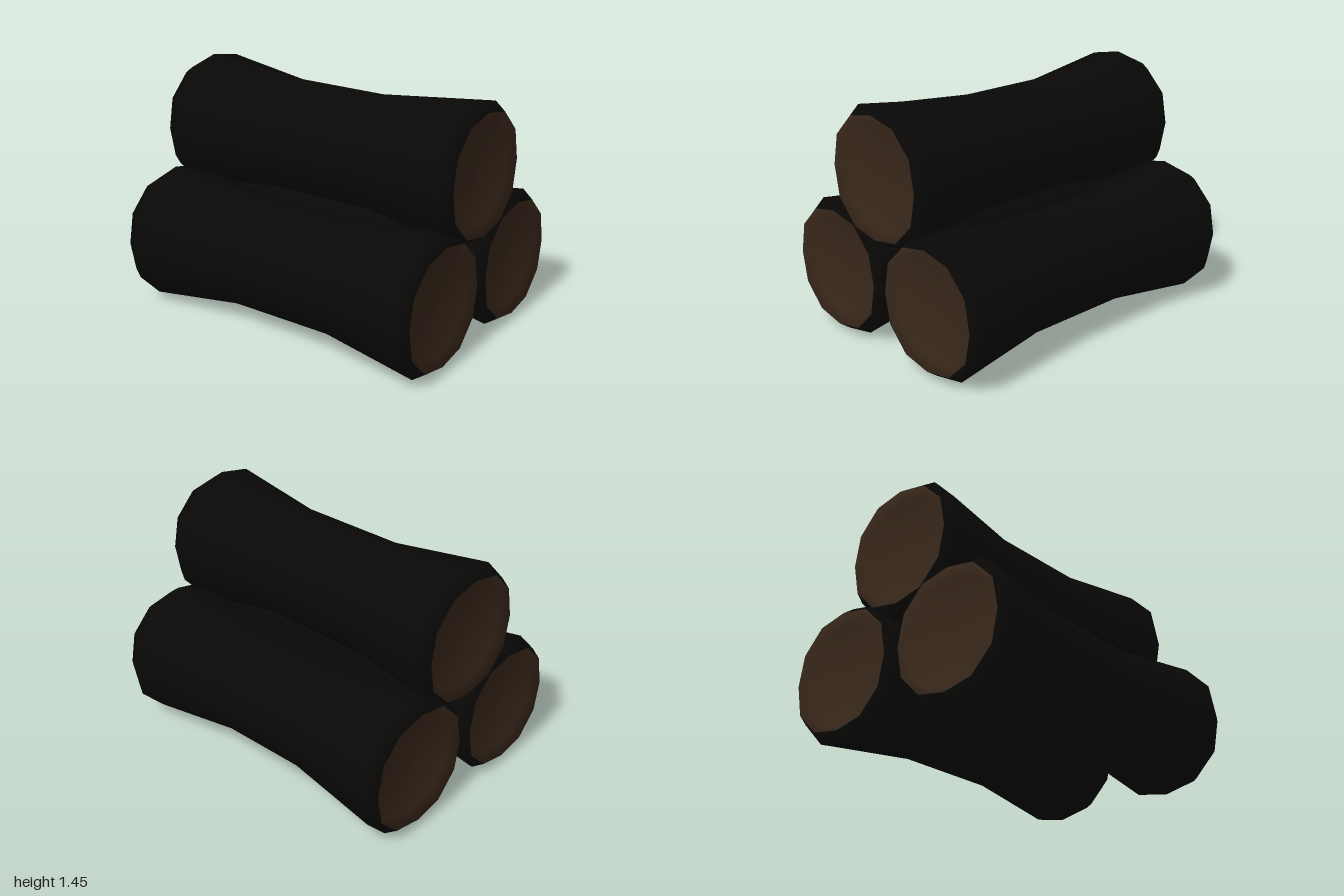
import * as THREE from 'three';

const SIDES = 12;
// Cross-sections of half a log, from the middle to the hollowed cut end:
// half width, half height, position, squareness
const HALF = [
  [0.326, 0.348, 0.33, -0.05],
  [0.39, 0.404, 0.93, 0.05],
  [0.352, 0.353, 1, 0.05],
  [0.315, 0.315, 0.95, 0.05],
  [0, 0, 0.94, 0],
];
const mirrored = HALF.map(([w, h, z, s]) => [w, h, -z, s]).reverse();
const SECTIONS = [...mirrored, ...HALF];
const ROWS = SECTIONS.length - 1;

// Keeps only some bands of the log, so bark and cut ends share smooth normals
function pickRows(source, keep) {
  const geometry = source.clone();
  const index = Array.from(source.index.array);
  geometry.setIndex(index.filter((_, i) => keep(Math.floor(i / 6) % ROWS)));
  return geometry;
}

function logGeometry() {
  const points = SECTIONS.map(([, height, z]) => new THREE.Vector2(height, z));
  const geometry = new THREE.LatheGeometry(points, SIDES);
  geometry.rotateX(Math.PI / 2);
  // Narrow each section, and swell or flatten its diagonals
  const pos = geometry.attributes.position;
  for (let i = 0; i < pos.count; i++) {
    const [width, height, , squareness] = SECTIONS[i % SECTIONS.length];
    const angle = Math.atan2(pos.getY(i), pos.getX(i));
    const k = 1 + squareness * Math.sin(2 * angle) ** 2;
    pos.setXY(i, width * k * Math.cos(angle), height * k * Math.sin(angle));
  }
  return geometry;
}

export function createModel() {
  const model = new THREE.Group();
  model.name = 'logPile';
  const barkMaterial = new THREE.MeshStandardMaterial({ color: 0x090807 });
  const woodMaterial = new THREE.MeshStandardMaterial({ color: 0x39281b });

  const whole = logGeometry();
  const isEnd = (row) => row < 2 || row >= ROWS - 2;
  const barkGeometry = pickRows(whole, (row) => !isEnd(row));
  const endGeometry = pickRows(whole, isEnd);

  // Two logs on the ground, one resting on top with a slight tilt
  const logs = [
    ['rightLog', -0.402, 0.405, 0, 0],
    ['leftLog', 0.4, 0.405, -0.004, 0],
    ['topLog', -0.012, 1.04, 0.003, -0.006],
  ];
  for (const [name, x, y, z, tilt] of logs) {
    const log = new THREE.Group();
    log.name = name;
    const bark = new THREE.Mesh(barkGeometry, barkMaterial);
    bark.name = 'bark';
    const ends = new THREE.Mesh(endGeometry, woodMaterial);
    ends.name = 'cutEnds';
    log.add(bark, ends);
    log.position.set(x, y, z);
    log.rotation.x = tilt;
    model.add(log);
  }
  return model;
}
